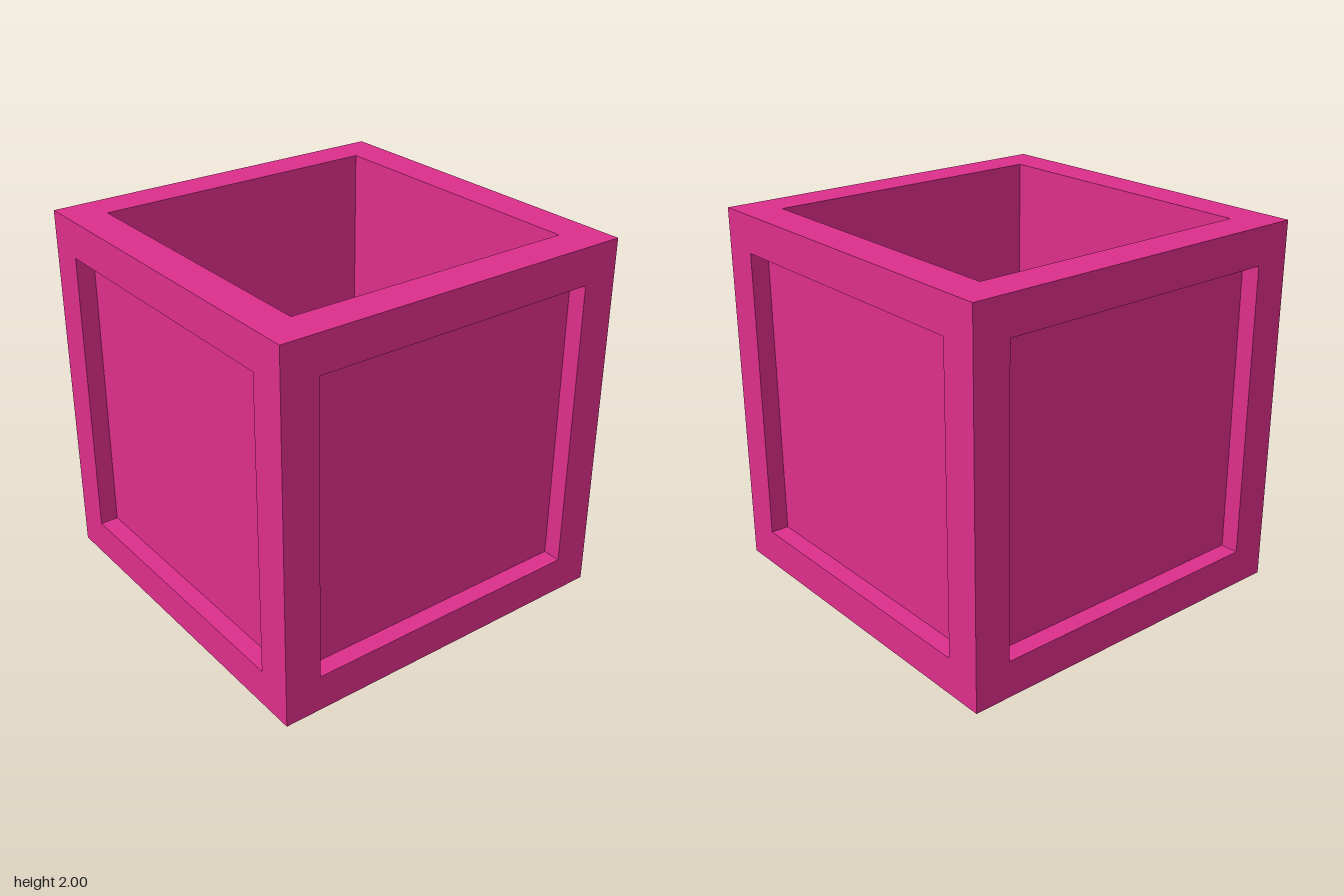
import * as THREE from 'three';
import { mergeGeometries } from 'three/addons/utils/BufferGeometryUtils.js';

const HALF = 1;       // half the crate's width
const OPENING = 0.8;  // half width of each recess and of the mouth
const RECESS = 0.1;   // how far the panels sit back

// Square border facing +z, lying on the outer face
function border() {
  const square = (path, h) => path.moveTo(-h, -h).lineTo(h, -h).lineTo(h, h).lineTo(-h, h).closePath();
  const shape = square(new THREE.Shape(), HALF);
  shape.holes.push(square(new THREE.Path(), OPENING));
  return new THREE.ShapeGeometry(shape).translate(0, 0, HALF);
}

// Border, recessed panel, the recess's four edges and the inner lining
function panelledSide(liningHeight) {
  const size = OPENING * 2;
  const parts = [
    border(),
    new THREE.PlaneGeometry(size, size).translate(0, 0, HALF - RECESS),
    new THREE.PlaneGeometry(size, liningHeight).rotateY(Math.PI)
      .translate(0, liningHeight / 2 - OPENING, OPENING),
  ];
  for (let i = 0; i < 4; i++) {
    parts.push(new THREE.PlaneGeometry(size, RECESS).rotateX(-Math.PI / 2)
      .translate(0, -OPENING, HALF - RECESS / 2).rotateZ(i * Math.PI / 2));
  }
  return mergeGeometries(parts);
}

export function createModel() {
  const crate = new THREE.Group();
  crate.name = 'openCrate';
  const material = new THREE.MeshStandardMaterial({ color: 0xdd2e8b });

  const add = (name, geometry) => {
    const mesh = new THREE.Mesh(geometry.translate(0, HALF, 0), material);
    mesh.name = name;
    crate.add(mesh);
  };

  // Four walls, their linings running up to the rim
  ['frontWall', 'leftWall', 'backWall', 'rightWall'].forEach((name, i) =>
    add(name, panelledSide(HALF + OPENING).rotateY(i * Math.PI / 2)));

  // Floor, and the rim around the open top
  add('floor', panelledSide(OPENING * 2).rotateX(Math.PI / 2));
  add('topRim', border().rotateX(-Math.PI / 2));

  return crate;
}
